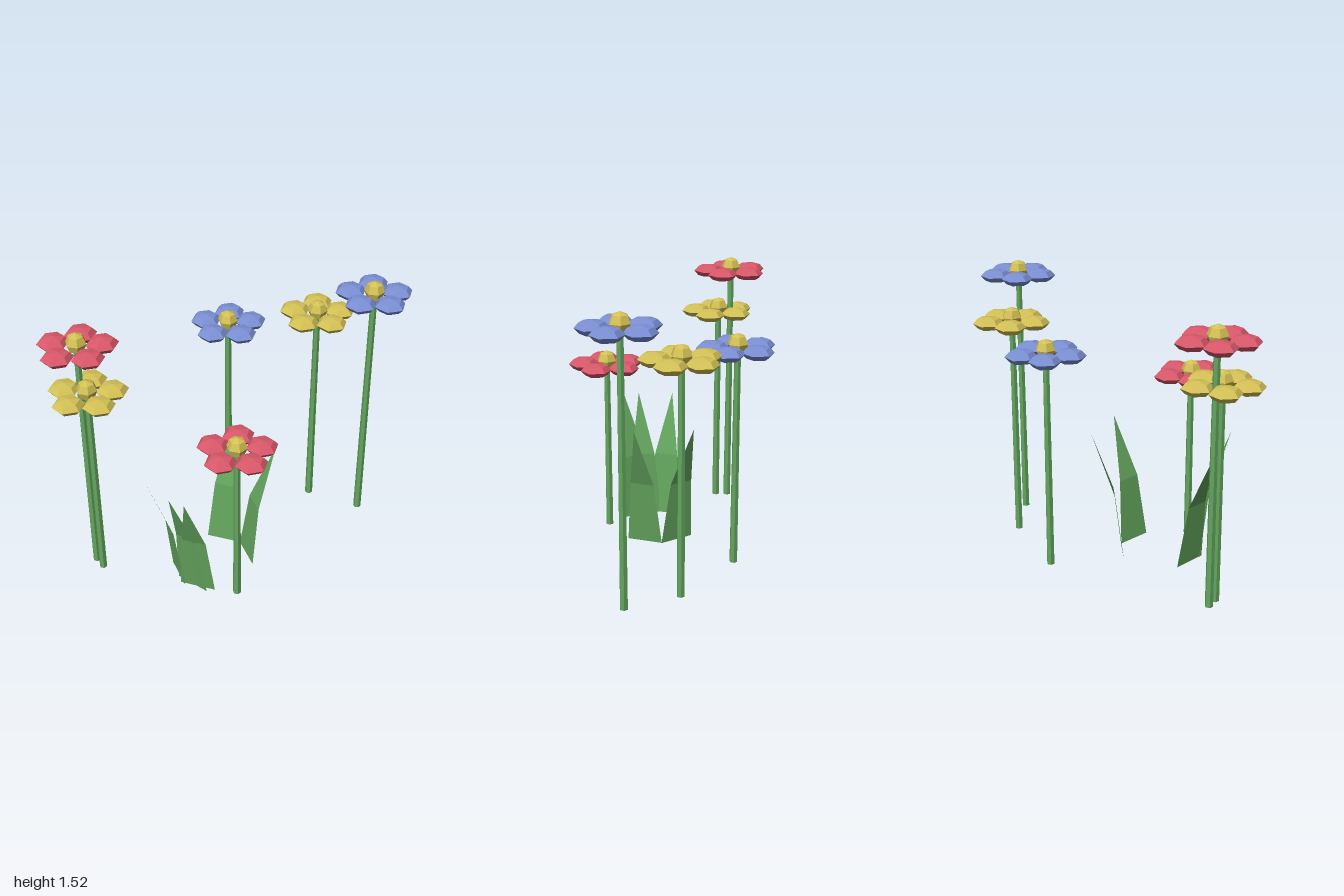
import * as THREE from 'three';

const mat = (name, color, extra = {}) => {
  const m = new THREE.MeshStandardMaterial({ color, flatShading: true, ...extra });
  m.name = name;
  return m;
};

export function createModel() {
  const group = new THREE.Group();
  group.name = 'flowerPatch';

  const green = mat('leafGreen', 0x64a55e, { side: THREE.DoubleSide });
  const red = mat('petalRed', 0xd9586a);
  const yellow = mat('petalYellow', 0xd3c155);
  const blue = mat('petalBlue', 0x7b8fd4);

  const petalGeo = new THREE.SphereGeometry(0.085, 6, 4).scale(1, 0.45, 1);
  const centreGeo = new THREE.SphereGeometry(0.056, 6, 4).rotateY(Math.PI / 6);

  const add = (parent, name, geo, material, x, y, z) => {
    const mesh = new THREE.Mesh(geo, material);
    mesh.name = name;
    mesh.position.set(x, y, z);
    parent.add(mesh);
  };

  // Flower: stem, five petals in a ring, and a domed centre
  const flower = (x, z, y, material) => {
    const f = new THREE.Group();
    f.name = 'flower';
    f.position.set(x, 0, z);
    add(f, 'stem', new THREE.CylinderGeometry(0.018, 0.022, y, 6), green, 0, y / 2, 0);
    for (let i = 0; i < 5; i++) {
      const a = (i / 5) * Math.PI * 2;
      add(f, 'petal', petalGeo, material, 0.13 * Math.cos(a), y, 0.13 * Math.sin(a));
    }
    add(f, 'flowerCentre', centreGeo, yellow, 0, y + 0.025, 0);
    group.add(f);
  };
  [
    [-0.81, -0.045, 1.41, red],
    [-0.785, 0.02, 1.17, yellow],
    [-0.11, 0.42, 0.97, red],
    [0.065, -0.42, 1.2, blue],
    [0.545, -0.315, 1.25, yellow],
    [0.785, -0.11, 1.44, blue],
  ].forEach((p) => flower(...p));

  // Blade: flat leaf that bends outward at mid height and ends in a point
  const blade = (tipX, tipZ, ux, uz, height) => {
    const section = (out, halfWidth, y) => [-1, 1].map((s) => [
      tipX + ux * (out - 0.168) + s * uz * halfWidth,
      y,
      tipZ + uz * (out - 0.168) - s * ux * halfWidth,
    ]);
    const [a, b] = section(0, 0.1, 0);
    const [c, d] = section(0.045, 0.068, height * 0.51);
    const tip = [tipX, height, tipZ];
    const geo = new THREE.BufferGeometry();
    geo.setAttribute('position', new THREE.Float32BufferAttribute(
      [a, b, d, a, d, c, c, d, tip].flat(), 3));
    geo.computeVertexNormals();
    add(group, 'leafBlade', geo, green, 0, 0, 0);
  };
  [
    [-0.552, 0.215, -0.99, 0.12, 0.7],
    [-0.465, 0.395, -0.8, 0.6, 0.705],
    [-0.4, 0.46, -0.55, 0.835, 0.705],
    [0.025, -0.165, 0.55, -0.835, 0.71],
    [0.19, 0.113, 0.995, -0.1, 0.71],
  ].forEach((p) => blade(...p));

  return group;
}
